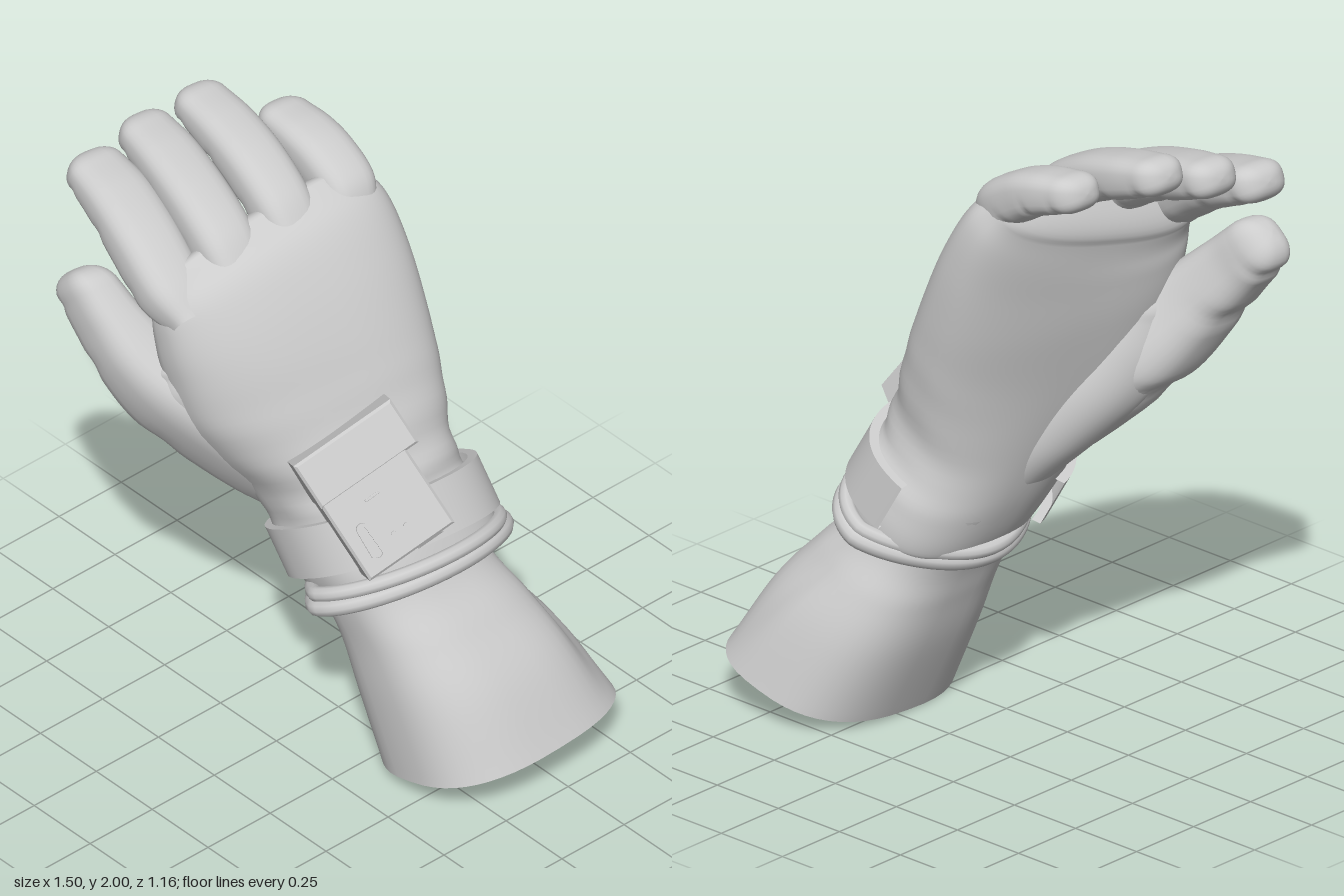
import * as THREE from 'three';
import { toCreasedNormals } from 'three/addons/utils/BufferGeometryUtils.js';

const material = new THREE.MeshStandardMaterial({ color: 0xcccccc, side: THREE.DoubleSide });
const V = (x, y, z) => new THREE.Vector3(x, y, z);

// A section row is [x, y, z, thickness radius, width radius, angle of the thickness axis, width tilt x, width tilt y]
function sectionPoint([x, y, z, a, b, deg, wx = 0, wy = 0], theta, scale, squareness) {
  const round = (v) => Math.sign(v) * Math.abs(v) ** (2 / squareness);
  const u = a * scale * round(Math.cos(theta));
  const w = b * scale * round(Math.sin(theta));
  const r = THREE.MathUtils.degToRad(deg);
  return V(x + u * Math.cos(r) + w * wx, y + u * Math.sin(r) + w * wy, z + w);
}

// Smooth in-between rows
function smoothRows(rows, steps) {
  const curves = [0, 3, 6].map((k) => new THREE.CatmullRomCurve3(
    rows.map((r) => V(r[k], r[k + 1] ?? 0, r[k + 2] ?? 0)), false, 'catmullrom'));
  const count = (rows.length - 1) * steps;
  return Array.from({ length: count + 1 }, (_, i) =>
    curves.flatMap((c) => c.getPoint(i / count).toArray()));
}

// Skin over section rows, with an optional rounded tip and wrinkles
function loft(rows, { steps = 8, seg = 48, from = 0, to = 360, tip = 0, squareness = 2.3, wrinkle = () => 1 } = {}) {
  const list = (steps > 1 ? smoothRows(rows, steps) : rows).map((r) => [r, 1]);
  const n = list.length;
  if (tip) {
    const last = list[n - 1][0], prev = list[n - 2][0];
    const dir = V(last[0] - prev[0], last[1] - prev[1], last[2] - prev[2]).setLength(tip);
    for (let i = 1; i <= 8; i++) {
      const p = (i / 8) * Math.PI / 2, s = Math.sin(p);
      list.push([[last[0] + dir.x * s, last[1] + dir.y * s, last[2] + dir.z * s, ...last.slice(3)],
        Math.max(Math.cos(p), 0.001) ** 0.8]);
    }
  }
  const closed = to - from === 360, cols = closed ? seg : seg + 1;
  const pos = [], index = [];
  list.forEach(([row, s], i) => {
    for (let j = 0; j < cols; j++) {
      const t = THREE.MathUtils.degToRad(from + (to - from) * j / seg);
      pos.push(...sectionPoint(row, t, s * wrinkle(i / (n - 1), t), squareness).toArray());
    }
  });
  for (let i = 0; i < list.length - 1; i++) {
    for (let j = 0; j < seg; j++) {
      const k = (j + 1) % cols, a = i * cols, b = a + cols;
      index.push(a + j, b + j, a + k, a + k, b + j, b + k);
    }
  }
  const g = new THREE.BufferGeometry();
  g.setAttribute('position', new THREE.Float32BufferAttribute(pos, 3));
  g.setIndex(index);
  g.computeVertexNormals();
  return g;
}

function add(parent, name, geometry, x = 0, y = 0, z = 0) {
  const mesh = new THREE.Mesh(geometry, material);
  mesh.name = name;
  mesh.position.set(x, y, z);
  parent.add(mesh);
  return mesh;
}

// Finger along points [x, y, z, thickness radius, width radius]
function finger(parent, name, points, tip = 0.07) {
  const rows = points.map(([x, y, z, a, b], i) => {
    const p = points[Math.max(i - 1, 0)], q = points[Math.min(i + 1, points.length - 1)];
    const deg = THREE.MathUtils.radToDeg(Math.atan2(q[1] - p[1], q[0] - p[0])) - 90;
    return [x, y, z, a, b, deg, -0.12, 0];
  });
  // Soft creases at the joints, on the palm side only
  const wrinkle = (v, t) => 1 - 0.1 * Math.max(0, -Math.cos(t)) * Math.max(0, Math.cos(v * 19)) ** 3;
  add(parent, name, loft(rows, { seg: 28, tip, squareness: 2.8, wrinkle }));
}

// Round cord following a whole section, narrower on the palm side
function cord(parent, name, row, radius) {
  const points = Array.from({ length: 48 }, (_, i) => {
    const t = i / 24 * Math.PI;
    const width = row[4] * (1 + 0.25 * Math.min(0, Math.cos(t)));
    return sectionPoint([...row.slice(0, 4), width, ...row.slice(5)], t, 1, 2);
  });
  add(parent, name, new THREE.TubeGeometry(new THREE.CatmullRomCurve3(points, true), 96, radius, 10, true));
}

function buildControlBox() {
  const box = new THREE.Group();
  box.name = 'controlBox';
  const slab = (name, w, h, d, bevel, x, y, front) => {
    const s = new THREE.Shape();
    const W = w / 2 - bevel, H = h / 2 - bevel;
    s.moveTo(-W, -H).lineTo(W, -H).lineTo(W, H).lineTo(-W, H).closePath();
    const g = new THREE.ExtrudeGeometry(s, { depth: d - 2 * bevel, bevelSize: bevel, bevelThickness: bevel, bevelSegments: 1 });
    add(box, name, g, x, y, front - d + bevel);
  };
  slab('boxBody', 0.31, 0.43, 0.13, 0.008, -0.02, 0, 0);
  slab('boxLid', 0.355, 0.16, 0.14, 0.008, 0, 0.135, 0.002);
  slab('boxFoot', 0.09, 0.03, 0.06, 0.006, 0.05, -0.215, -0.04);
  slab('dash', 0.05, 0.008, 0.008, 0.001, -0.03, 0.0, 0.003);
  // Slot with a rounded frame
  const slot = new THREE.Shape().absarc(0, 0.045, 0.018, 0, Math.PI).absarc(0, -0.045, 0.022, Math.PI, 2 * Math.PI);
  const hole = new THREE.Path().absarc(0, 0.045, 0.01, 0, Math.PI).absarc(0, -0.045, 0.013, Math.PI, 2 * Math.PI);
  slot.holes.push(hole);
  add(box, 'slotFrame', new THREE.ExtrudeGeometry(slot, { depth: 0.008, bevelEnabled: false }), -0.11, -0.11, 0);
  for (const x of [-0.037, 0.008]) {
    const stud = add(box, 'stud', new THREE.CylinderGeometry(0.008, 0.008, 0.012, 12), x, -0.133, 0);
    stud.rotation.x = Math.PI / 2;
  }
  // Lay the box on the back of the wrist
  const up = V(-0.56, 0.8, 0.21).normalize();
  const out = V(0.794, 0.446, 0.418).normalize();
  const side = up.clone().cross(out).normalize();
  box.quaternion.setFromRotationMatrix(new THREE.Matrix4().makeBasis(side, out.clone().cross(side), out));
  box.position.set(0.315, 1.06, 0.115);
  return box;
}

export function createModel() {
  const model = new THREE.Group();
  model.name = 'glovedArm';

  // Hollow forearm sleeve, open at the bottom, with one deep fold
  add(model, 'sleeve', loft([
    [0.475, 0.085, -0.22, 0.285, 0.36, 16, 0, -0.06],
    [0.37, 0.31, -0.175, 0.27, 0.325, 15, 0, -0.03],
    [0.285, 0.46, -0.135, 0.232, 0.29, 18],
    [0.21, 0.58, -0.09, 0.197, 0.262, 24],
    [0.12, 0.76, -0.05, 0.19, 0.25, 27],
  ], {
    squareness: 2.6,
    wrinkle: (v, t) => 1 - 0.11 * Math.sin(Math.PI * v) * Math.exp(-(((t - 5.4 + v * 0.7) / 0.28) ** 2)),
  }));

  // Glove from cuff to finger roots, creased on the back of the wrist
  add(model, 'gloveHand', loft([
    [0.205, 0.625, -0.09, 0.195, 0.255, 24, -0.05, 0],
    [0.19, 0.655, -0.085, 0.215, 0.3, 25, -0.05, 0],
    [0.13, 0.78, -0.055, 0.215, 0.305, 28, -0.12, 0],
    [0.065, 0.93, -0.01, 0.21, 0.285, 28, -0.22, 0],
    [-0.035, 1.17, 0.06, 0.2, 0.37, 28, -0.28, 0],
    [-0.105, 1.375, 0.08, 0.188, 0.4, 26, -0.25, 0],
    [-0.16, 1.53, 0.085, 0.17, 0.405, 33, -0.21, -0.06],
    [-0.21, 1.635, 0.09, 0.152, 0.395, 46, -0.16, -0.16],
    [-0.265, 1.695, 0.1, 0.12, 0.365, 58, -0.15, -0.22],
  ], {
    seg: 72, tip: 0.05, squareness: 2.5,
    wrinkle: (v, t) => 1 + 0.011 * (1 + Math.cos(t)) * Math.exp(-(((v - 0.36) / 0.12) ** 2)) * Math.sin(v * 75 + 1.5 * Math.sin(t * 2)),
  }));

  // Fleshy base of the thumb, filling out the palm up to the web
  add(model, 'thumbMound', loft([
    [0.03, 0.85, 0.02, 0.16, 0.16, 30, -0.2, 0], [-0.06, 0.98, 0.11, 0.175, 0.18, 32, -0.2, 0],
    [-0.15, 1.12, 0.22, 0.18, 0.2, 35, -0.2, 0], [-0.22, 1.24, 0.31, 0.155, 0.18, 36, -0.2, 0],
    [-0.25, 1.33, 0.35, 0.11, 0.14, 30, -0.2, 0],
  ], { tip: 0.06 }));

  finger(model, 'indexFinger', [
    [-0.19, 1.56, 0.4, 0.06, 0.08], [-0.29, 1.625, 0.412, 0.085, 0.1],
    [-0.43, 1.72, 0.395, 0.085, 0.106], [-0.57, 1.785, 0.37, 0.075, 0.104], [-0.68, 1.82, 0.36, 0.064, 0.094]]);
  finger(model, 'middleFinger', [
    [-0.17, 1.64, 0.24, 0.06, 0.08], [-0.27, 1.73, 0.23, 0.085, 0.096],
    [-0.4, 1.805, 0.212, 0.08, 0.098], [-0.55, 1.858, 0.19, 0.072, 0.096], [-0.655, 1.885, 0.18, 0.063, 0.088]]);
  finger(model, 'ringFinger', [
    [-0.15, 1.7, 0.03, 0.06, 0.08], [-0.24, 1.785, 0.025, 0.08, 0.091],
    [-0.37, 1.86, 0.012, 0.078, 0.094], [-0.5, 1.905, 0.002, 0.072, 0.092], [-0.605, 1.933, 0, 0.062, 0.085]]);
  finger(model, 'littleFinger', [
    [-0.13, 1.7, -0.17, 0.06, 0.075], [-0.18, 1.775, -0.185, 0.08, 0.088],
    [-0.27, 1.835, -0.187, 0.077, 0.091], [-0.35, 1.866, -0.185, 0.07, 0.09], [-0.43, 1.883, -0.18, 0.062, 0.083]]);
  finger(model, 'thumb', [
    [-0.02, 0.89, 0.13, 0.13, 0.12], [-0.12, 1.02, 0.23, 0.15, 0.14], [-0.26, 1.185, 0.355, 0.155, 0.15],
    [-0.375, 1.32, 0.445, 0.125, 0.12], [-0.48, 1.44, 0.49, 0.105, 0.09], [-0.55, 1.515, 0.505, 0.097, 0.078]], 0.085);

  // Wrist strap, wrapped over the back of the wrist
  const strapRow = (x, y, z, grow) => [x, y, z, 0.225 + grow, 0.305 + grow, 30, -0.1, 0];
  const strap = loft([
    strapRow(0.17, 0.7, -0.07, 0), strapRow(0.17, 0.7, -0.07, 0.028),
    strapRow(0.09, 0.85, -0.05, 0.028), strapRow(0.09, 0.85, -0.05, 0),
  ], { steps: 1, seg: 60, from: -100, to: 152 });
  add(model, 'wristStrap', toCreasedNormals(strap, 0.6));

  // Pair of cords around the cuff
  cord(model, 'cuffCord', [0.205, 0.625, -0.085, 0.225, 0.34, 25, -0.05, -0.02], 0.028);
  cord(model, 'upperCord', [0.195, 0.66, -0.08, 0.23, 0.33, 26, -0.05, 0], 0.024);

  model.add(buildControlBox());
  return model;
}
